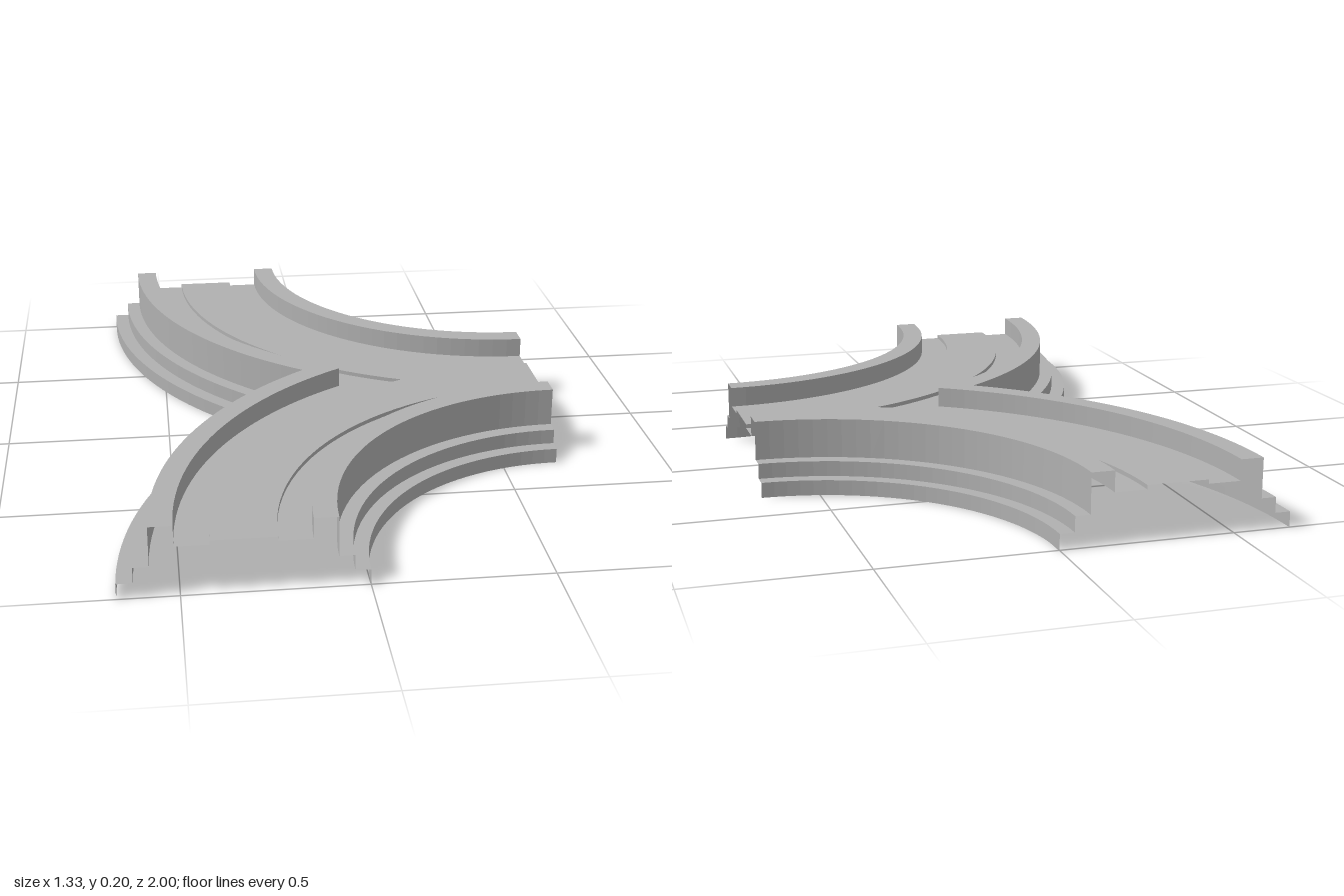
import * as THREE from 'three';

const SEGMENTS = 28;
const CENTRE_X = 0.667; // both bends turn about (CENTRE_X, +-1)

// Point on an arc of radius r; arcs wider than 1 stop at the meeting plane z = 0.
function arcPoint(r, y, t, side) {
  const end = r > 1 ? Math.asin(1 / r) : Math.PI / 2;
  const a = end * t;
  return [CENTRE_X - r * Math.cos(a), y, side * (1 - r * Math.sin(a))];
}

// Sweep a [radius, height] profile (from outer to inner radius) around one bend.
function sweep(profile, side) {
  const pos = [];
  for (let p = 0; p < profile.length - 1; p++) {
    const [r0, y0] = profile[p];
    const [r1, y1] = profile[p + 1];
    for (let i = 0; i < SEGMENTS; i++) {
      const t0 = i / SEGMENTS, t1 = (i + 1) / SEGMENTS;
      const a = arcPoint(r0, y0, t0, side);
      const b = arcPoint(r1, y1, t0, side);
      const c = arcPoint(r1, y1, t1, side);
      const d = arcPoint(r0, y0, t1, side);
      const order = side > 0 ? [a, b, c, a, c, d] : [a, c, b, a, d, c];
      order.forEach((v) => pos.push(...v));
    }
  }
  const geometry = new THREE.BufferGeometry();
  geometry.setAttribute('position', new THREE.Float32BufferAttribute(pos, 3));
  geometry.computeVertexNormals();
  return geometry;
}

export function createModel() {
  const model = new THREE.Group();
  model.name = 'roadJunction';

  const stone = new THREE.MeshStandardMaterial({
    color: 0xb0b0b0, flatShading: true, side: THREE.DoubleSide,
  });
  stone.name = 'grey stone';

  const KERB = 0.205, GUTTER = 0.145, ROAD = 0.157, STEP1 = 0.045, STEP2 = 0.09;
  const parts = {
    // stepped skirt below the wide wall
    outerSteps: [[1.333, 0], [1.333, STEP1], [1.288, STEP1], [1.288, STEP2], [1.245, STEP2]],
    outerParapet: [[1.245, STEP2], [1.245, KERB], [1.18, KERB], [1.18, GUTTER]],
    outerGutter: [[1.18, GUTTER], [1.087, GUTTER]],
    // raised carriageway, split at radius 1 so it fills the fork exactly
    roadDeck: [[1.087, GUTTER], [1.087, ROAD], [1, ROAD], [0.91, ROAD], [0.91, GUTTER]],
    innerGutter: [[0.91, GUTTER], [0.818, GUTTER]],
    innerParapet: [[0.818, GUTTER], [0.818, KERB], [0.752, KERB], [0.752, STEP2]],
    innerSteps: [[0.752, STEP2], [0.709, STEP2], [0.709, STEP1], [0.667, STEP1], [0.667, 0]],
  };

  // two mirrored bends form the three-way fork
  for (const side of [1, -1]) {
    const bend = new THREE.Group();
    bend.name = side > 0 ? 'frontBend' : 'backBend';
    for (const [name, profile] of Object.entries(parts)) {
      const mesh = new THREE.Mesh(sweep(profile, side), stone);
      mesh.name = name;
      bend.add(mesh);
    }
    model.add(bend);
  }
  return model;
}
